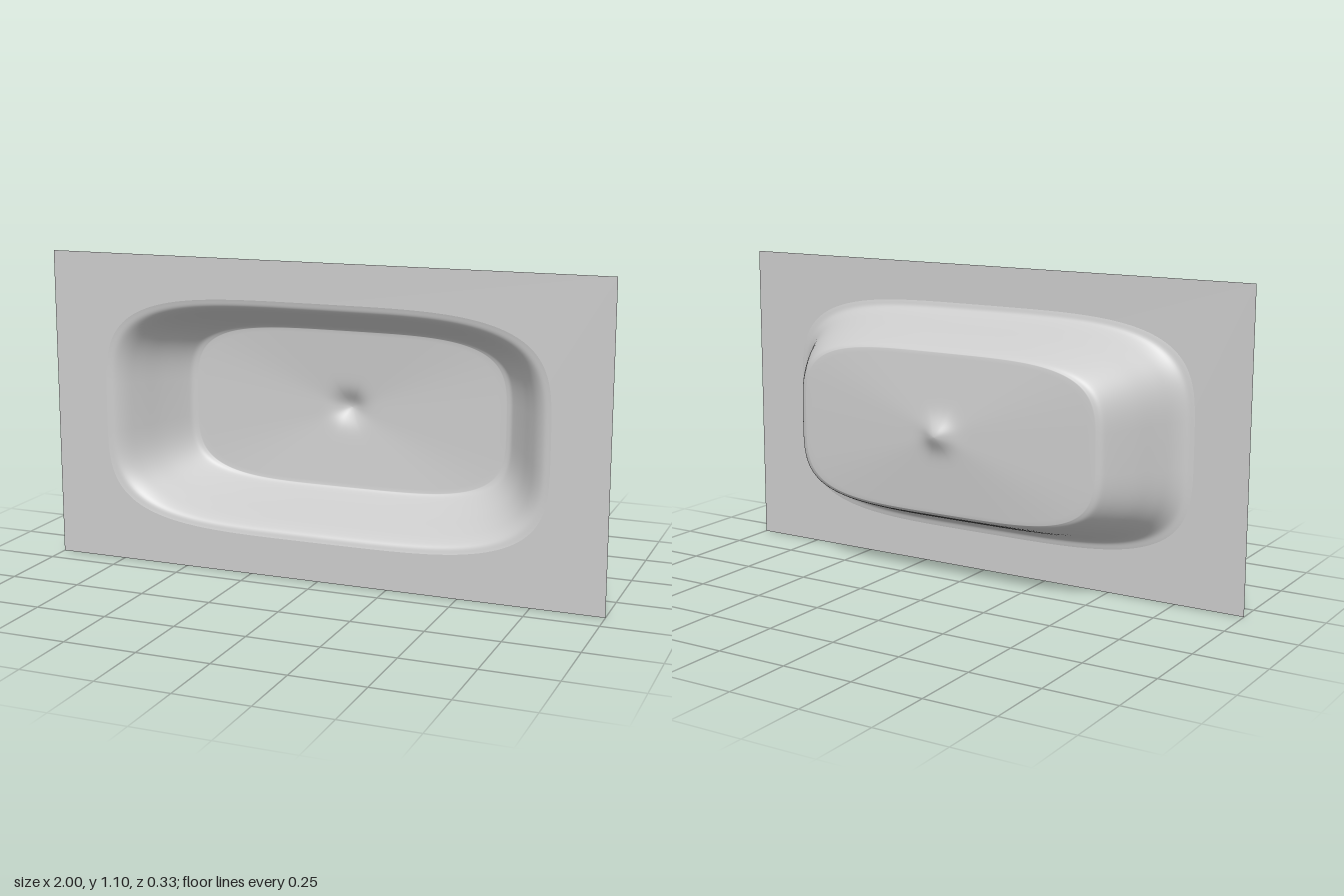
import * as THREE from 'three';

const SEG = 128, CY = 0.55, RIM_Z = 0.165;

// Point on a squarish oval with half sizes a, b
function oval(a, b, i) {
  const t = (i / SEG) * Math.PI * 2, c = Math.cos(t), s = Math.sin(t);
  return [a * Math.sign(c) * Math.sqrt(Math.abs(c)), CY + b * Math.sign(s) * Math.sqrt(Math.abs(s))];
}

// Wall section: half width, half height, depth
const wall = new THREE.CatmullRomCurve3([
  [0.58, 0.28, -0.109], [0.6, 0.289, -0.1], [0.615, 0.298, -0.083], [0.67, 0.328, 0],
  [0.716, 0.354, 0.08], [0.75, 0.373, 0.132], [0.778, 0.389, 0.157], [0.805, 0.412, RIM_Z],
].map(p => new THREE.Vector3(...p)));

function basinGeometry() {
  const rings = [], pos = [], idx = [];
  // Floor rings, packed closer near the drain
  for (let k = 0; k < 32; k++) {
    const s = Math.max(0.0005, Math.pow(k / 32, 1.5));
    rings.push({ a: 0.58 * s, b: 0.28 * s, z: -0.109 - 0.026 * (1 - s), floor: true });
  }
  for (const p of wall.getPoints(35)) rings.push({ a: p.x, b: p.y, z: p.z });
  rings.forEach((r, k) => {
    for (let i = 0; i <= SEG; i++) {
      const [x, y] = oval(r.a, r.b, i % SEG);
      // Soft drain dimple in the middle of the floor
      const d2 = x * x + (y - CY - 0.005) ** 2;
      pos.push(x, y, r.z - (r.floor ? 0.03 * Math.exp(-d2 / 0.0026) : 0));
      if (k && i < SEG) {
        const p = (k - 1) * (SEG + 1) + i, q = p + SEG + 1;
        idx.push(p, q, q + 1, p, q + 1, p + 1);
      }
    }
  });
  const g = new THREE.BufferGeometry();
  g.setAttribute('position', new THREE.Float32BufferAttribute(pos, 3));
  g.setIndex(idx);
  g.computeVertexNormals();
  // Match normals across the seam of every ring
  const n = g.attributes.normal;
  for (let k = 0; k < rings.length; k++) {
    const a = k * (SEG + 1), b = a + SEG;
    const v = new THREE.Vector3().fromBufferAttribute(n, a)
      .add(new THREE.Vector3().fromBufferAttribute(n, b)).normalize();
    n.setXYZ(a, v.x, v.y, v.z);
    n.setXYZ(b, v.x, v.y, v.z);
  }
  return g;
}

// Flat sheet with an opening that meets the basin lip
function rimGeometry() {
  const shape = new THREE.Shape([[-1, 0], [1, 0], [1, 1.1], [-1, 1.1]].map(p => new THREE.Vector2(...p)));
  const lip = [];
  for (let i = 0; i < SEG; i++) lip.push(new THREE.Vector2(...oval(0.805, 0.412, i)));
  shape.holes.push(new THREE.Path(lip));
  return new THREE.ShapeGeometry(shape).translate(0, 0, RIM_Z);
}

export function createModel() {
  const group = new THREE.Group();
  group.name = 'sinkBasin';
  const material = new THREE.MeshStandardMaterial({ color: 0xcccccc, side: THREE.DoubleSide });
  for (const [name, geometry] of [['basin', basinGeometry()], ['rimSheet', rimGeometry()]]) {
    const mesh = new THREE.Mesh(geometry, material);
    mesh.name = name;
    group.add(mesh);
  }
  return group;
}
